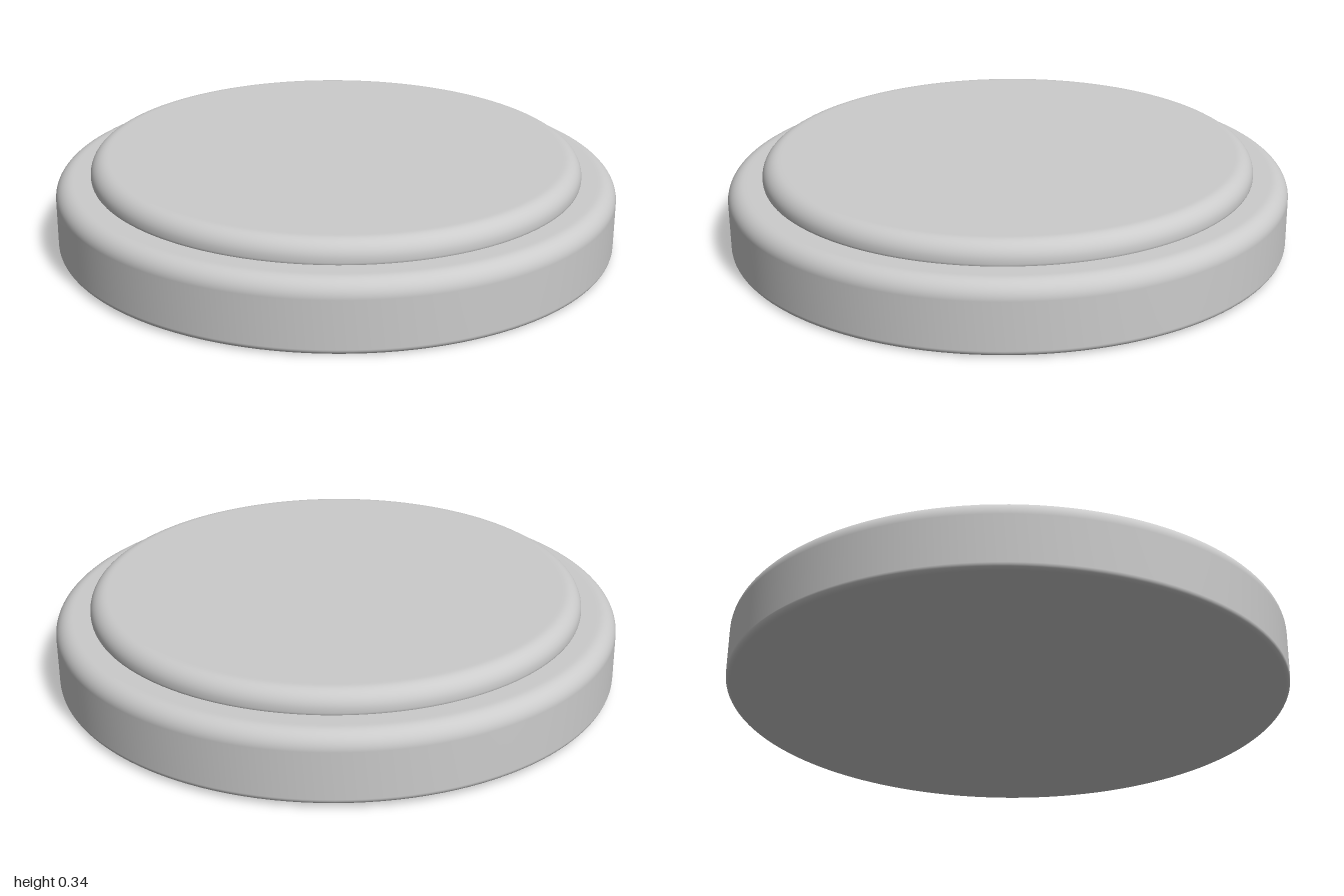
import * as THREE from 'three';

const SEGMENTS = 128;

// Disc profile from the bottom axis to the top axis, with quarter-round edges
function roundedDisc(name, radius, y0, y1, bottomRound, topRound) {
  const points = [new THREE.Vector2(0, y0), new THREE.Vector2(radius - bottomRound - 0.01, y0)];
  const addArc = (r, cy, start) => {
    for (let i = 0; i <= 10; i++) {
      const a = start + (i / 10) * Math.PI / 2;
      points.push(new THREE.Vector2(radius - r + r * Math.cos(a), cy + r * Math.sin(a)));
    }
  };
  addArc(bottomRound, y0 + bottomRound, -Math.PI / 2);
  addArc(topRound, y1 - topRound, 0);
  points.push(new THREE.Vector2(radius - topRound - 0.01, y1), new THREE.Vector2(0, y1));
  const mesh = new THREE.Mesh(
    new THREE.LatheGeometry(points, SEGMENTS),
    new THREE.MeshStandardMaterial({ color: 0xcccccc })
  );
  mesh.name = name;
  return mesh;
}

export function createModel() {
  const model = new THREE.Group();
  model.name = 'steppedDisc';

  // The whole disc leans very slightly, back edge raised
  const body = new THREE.Group();
  body.name = 'tiltedBody';
  body.rotation.x = 0.009;
  body.position.y = 0.009;
  model.add(body);

  // Wide base
  body.add(roundedDisc('base', 1, 0, 0.247, 0.02, 0.06));
  // Smaller raised plate
  body.add(roundedDisc('topPlate', 0.875, 0.235, 0.322, 0.02, 0.06));

  return model;
}
